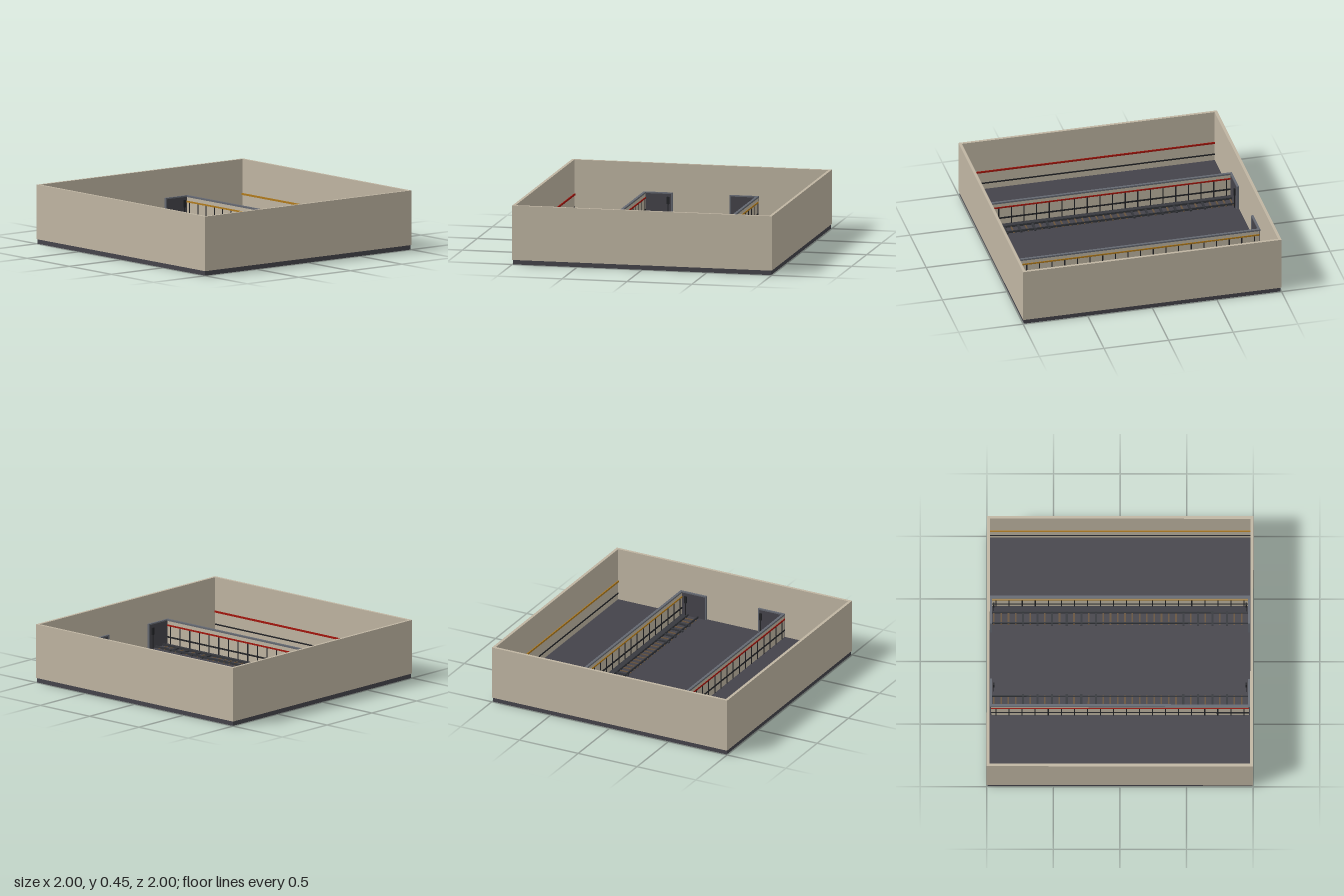
import * as THREE from 'three';

const mat = (name, color) => {
  const m = new THREE.MeshStandardMaterial({ color });
  m.name = name;
  return m;
};

export function createModel() {
  const beige = mat('beige wall', 0xbfb5a2);
  const slate = mat('slate floor', 0x44434a);
  const ledgeGrey = mat('dark ledge', 0x38393f);
  const capGrey = mat('grey trim', 0x646871);
  const black = mat('black trim', 0x222326);
  const red = mat('red stripe', 0xa3150c);
  const ochre = mat('ochre stripe', 0xb07a1c);
  const wood = mat('brown sleeper', 0x66523c);
  const steel = mat('rail steel', 0x34363b);

  const model = new THREE.Group();
  model.name = 'station';

  // Box given by its minimum and maximum corners
  const box = (parent, name, material, x0, x1, y0, y1, z0, z1) => {
    const g = new THREE.BoxGeometry(Math.abs(x1 - x0), y1 - y0, z1 - z0);
    const mesh = new THREE.Mesh(g, material);
    mesh.position.set((x0 + x1) / 2, (y0 + y1) / 2, (z0 + z1) / 2);
    mesh.name = name;
    parent.add(mesh);
    return mesh;
  };

  const floorY = 0.035;
  const wallTop = 0.45;
  const partTop = 0.23;

  // Base slab and the four outer walls
  box(model, 'floor', slate, -0.994, 0.994, 0, floorY, -0.994, 0.994);
  for (const s of [-1, 1]) {
    box(model, 'sideWall', beige, s * 0.978, s, floorY, wallTop, -1, 1);
    const z = s * 0.989;
    box(model, 'endWall', beige, -0.978, 0.978, floorY, wallTop, z - 0.011, z + 0.011);
  }

  for (const s of [-1, 1]) {
    const stripe = s < 0 ? red : ochre;
    const side = new THREE.Group();
    side.name = s < 0 ? 'rightTrack' : 'leftTrack';
    model.add(side);

    // Stripes along the inside of the outer wall
    box(side, 'wallStripe', stripe, s * 0.971, s * 0.979, 0.178, 0.192, -0.978, 0.978);
    box(side, 'wallLine', black, s * 0.973, s * 0.979, 0.082, 0.092, -0.978, 0.978);

    // Long partition with its cap
    box(side, 'partition', beige, s * 0.428, s * 0.44, floorY, 0.218, -0.97, 0.97);
    box(side, 'partitionCap', capGrey, s * 0.424, s * 0.444, 0.218, partTop, -0.975, 0.975);

    // Stripes, lines and posts on both faces of the partition
    for (const [a, b] of [[0.424, 0.428], [0.44, 0.444]]) {
      box(side, 'partitionStripe', stripe, s * a, s * b, 0.178, 0.19, -0.97, 0.97);
      box(side, 'partitionLine', black, s * a, s * b, 0.088, 0.1, -0.97, 0.97);
      for (let i = 0; i < 20; i++) {
        const z = -0.93 + i * 1.86 / 19;
        box(side, 'partitionPost', black, s * a, s * b, floorY, 0.178, z - 0.004, z + 0.004);
      }
    }

    // Ledge beside the track
    box(side, 'ledge', ledgeGrey, s * 0.382, s * 0.428, floorY, 0.042, -0.97, 0.97);

    // Screens closing both ends of the track
    for (const e of [-1, 1]) {
      const z = e * 0.968;
      box(side, 'endScreen', slate, s * 0.228, s * 0.44, floorY, 0.22, z - 0.005, z + 0.005);
      box(side, 'endScreenCap', capGrey, s * 0.22, s * 0.444, 0.22, partTop, z - 0.008, z + 0.008);
      box(side, 'endScreenEdge', capGrey, s * 0.22, s * 0.23, floorY, 0.22, z - 0.008, z + 0.008);

      // Small signal on a post
      const x = s < 0 ? -0.25 : 0.39;
      const zs = e * 0.948;
      box(side, 'signalPost', black, x - 0.003, x + 0.003, floorY, 0.15, zs - 0.003, zs + 0.003);
      box(side, 'signalHead', black, x - 0.01, x + 0.01, 0.145, 0.2, zs - 0.006, zs + 0.006);
    }

    // Sleepers, some of them longer and darker
    for (let i = 0; i < 35; i++) {
      const z = -0.947 + i * 0.0547;
      const dark = i % 2 === 0 && ((z > -0.75 && z < -0.15) || (z > 0.4 && z < 0.88));
      if (dark) box(side, 'longSleeper', steel, s * 0.275, s * 0.386, floorY, 0.047, z - 0.008, z + 0.008);
      else box(side, 'sleeper', wood, s * 0.28, s * 0.372, floorY, 0.04, z - 0.006, z + 0.006);
    }

    // Rails
    for (const x of [0.292, 0.376]) {
      box(side, 'rail', steel, s * (x - 0.004), s * (x + 0.004), floorY, 0.052, -0.962, 0.962);
    }
  }
  return model;
}
